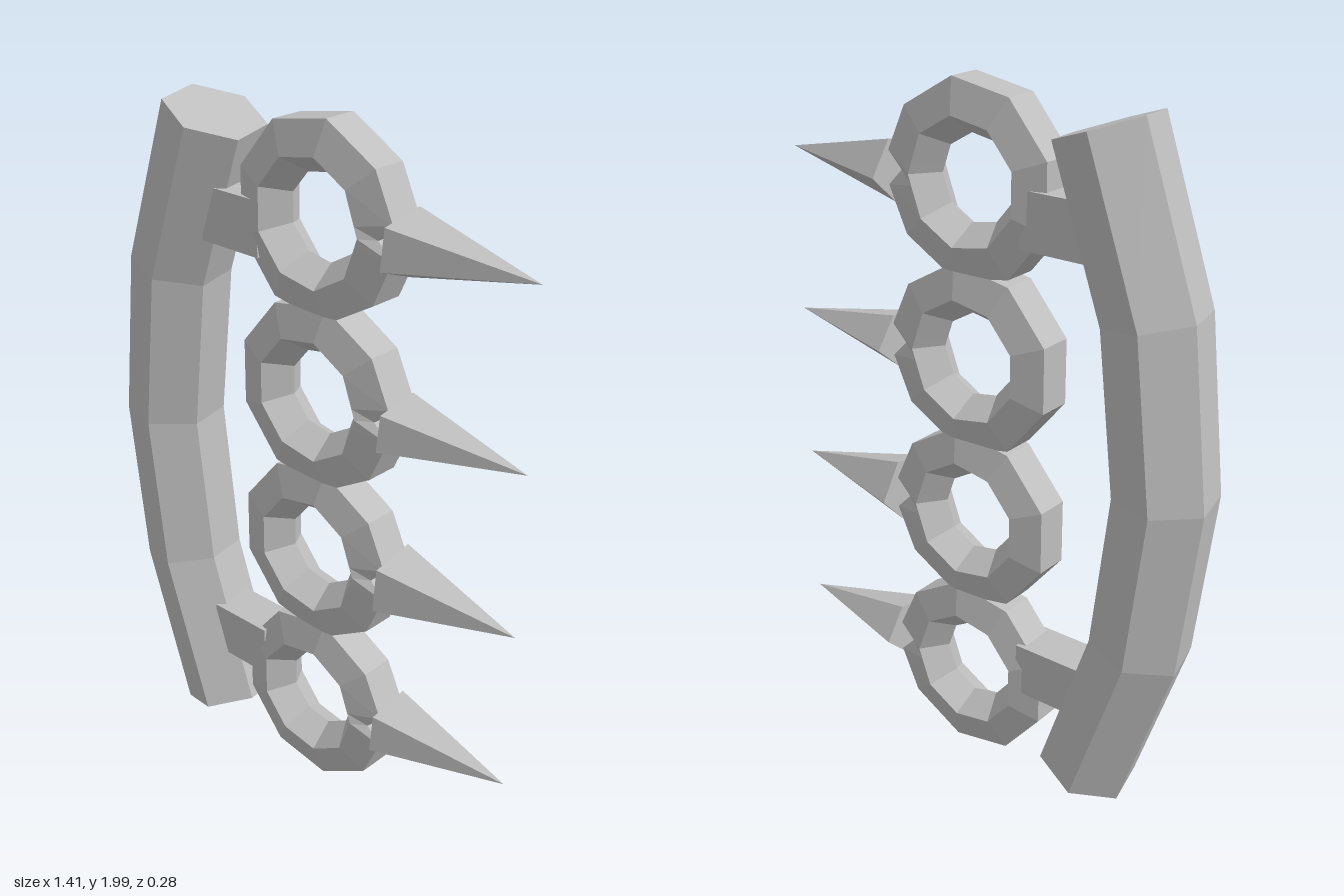
import * as THREE from 'three';

const rad = THREE.MathUtils.degToRad;

// Gives every face its own flat normal
function faceted(geometry) {
  const g = geometry.index ? geometry.toNonIndexed() : geometry;
  g.computeVertexNormals();
  return g;
}

// Nine-sided ring of pentagonal section, with a small notch behind the spike
function ringGeometry() {
  const angles = [0, 10, 40, 80, 120, 160, 200, 240, 280, 320, 350, 360];
  const section = [[0.27, 0.05], [0.175, 0.077], [0.12, 0], [0.175, -0.077], [0.27, -0.05]];
  const g = new THREE.TorusGeometry(0.2, 0.08, 5, 11);
  const p = g.attributes.position;
  for (let j = 0; j <= 5; j++) {
    for (let i = 0; i <= 11; i++) {
      const a = angles[i];
      let [r, z] = section[j % 5];
      const outer = r > 0.2;
      if (outer && a % 360 === 0) r = 0.22;
      if (!outer && (a === 10 || a === 350)) r *= 0.955;
      p.setXYZ(j * 12 + i, r * Math.cos(rad(a)), r * Math.sin(rad(a)), z);
    }
  }
  return faceted(g);
}

// Hexagonal bar bent along five stations: x, y and tilt in degrees
function gripGeometry() {
  const stations = [[-0.36, 0.073, 18], [-0.518, 0.54, 11], [-0.573, 1.005, 0],
    [-0.52, 1.475, -11], [-0.36, 1.932, -19]];
  const g = new THREE.CylinderGeometry(0.143, 0.143, 4, 6, 4);
  g.rotateY(rad(73));
  const p = g.attributes.position;
  for (let i = 0; i < p.count; i++) {
    const [cx, cy, tilt] = stations[Math.round(p.getY(i) + 2)];
    const x = p.getX(i);
    p.setXYZ(i, cx + x * Math.cos(rad(tilt)), cy + x * Math.sin(rad(tilt)), p.getZ(i));
  }
  return faceted(g);
}

// Five-sided spike pointing along +x, its base at the origin, flattened in height
function spikeGeometry(flatten) {
  const g = new THREE.ConeGeometry(0.113, 0.4, 5);
  g.rotateY(rad(30));
  g.rotateZ(-Math.PI / 2);
  g.translate(0.2, 0, 0);
  g.scale(1, flatten, 1);
  return faceted(g);
}

export function createModel() {
  const model = new THREE.Group();
  const steel = new THREE.MeshStandardMaterial({ color: 0xbfbfbf });
  steel.name = 'steelGrey';

  const add = (name, geometry, x, y) => {
    const mesh = new THREE.Mesh(geometry, steel);
    mesh.name = name;
    mesh.position.set(x, y, 0);
    model.add(mesh);
  };

  // Palm grip
  add('grip', gripGeometry(), 0, 0);

  // Finger rings with a spike on each: ring height, spike height, spike flattening
  const ring = ringGeometry();
  const fingers = [[0.272, 0.285, 0.82], [0.767, 0.765, 0.93],
    [1.247, 1.237, 0.75], [1.735, 1.725, 0.82]];
  for (const [ringY, spikeY, flatten] of fingers) {
    add('fingerRing', ring, 0.037, ringY);
    add('spike', spikeGeometry(flatten), 0.305, spikeY);
  }

  // Struts joining the end rings to the grip
  const strut = new THREE.BoxGeometry(0.21, 0.155, 0.13);
  for (const y of [0.343, 1.673]) add('strut', strut, -0.25, y);

  return model;
}
